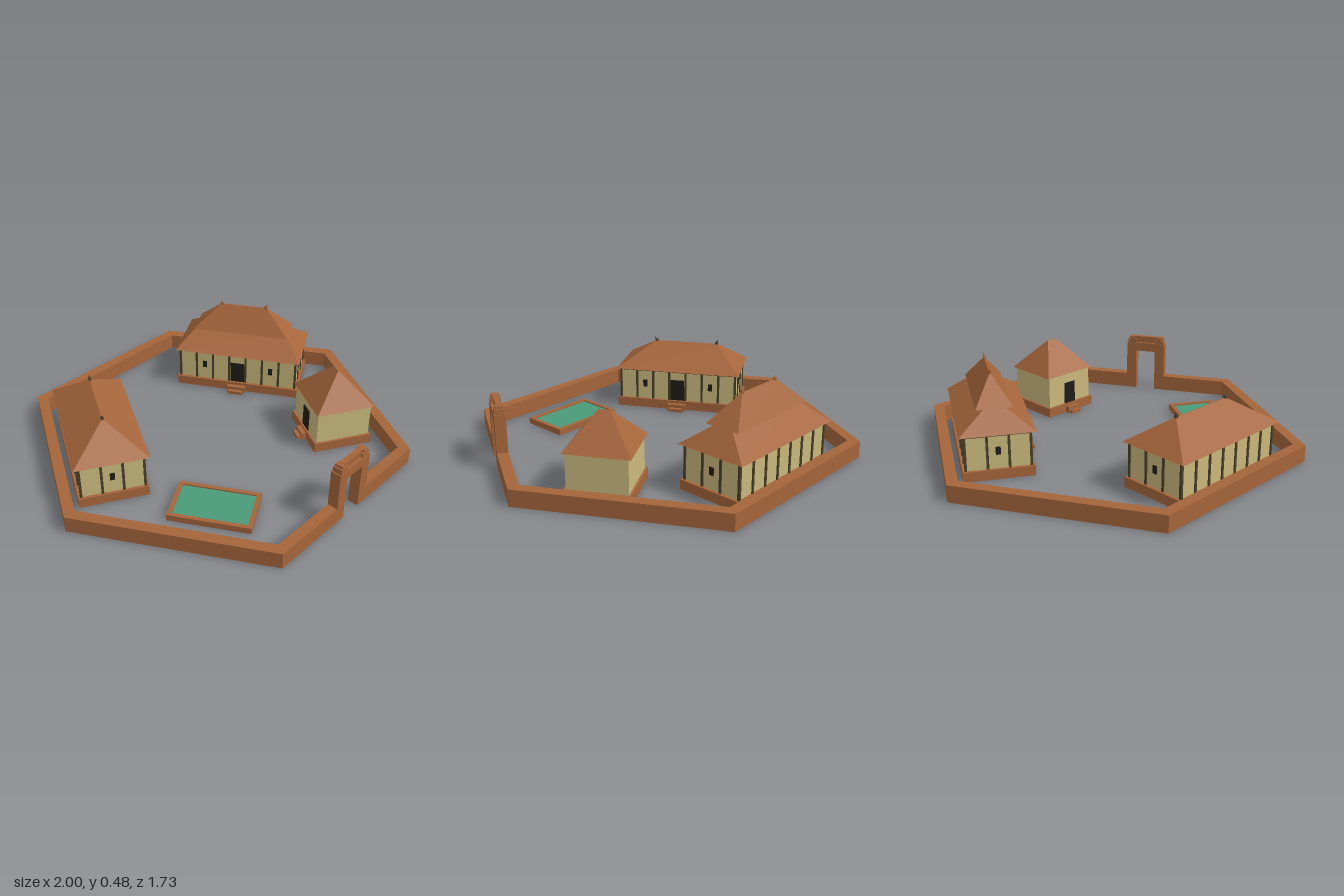
import * as THREE from 'three';

const mat = (color) => new THREE.MeshStandardMaterial({ color, flatShading: true });
const CLAY = mat(0xa5653b), PLASTER = mat(0xcab97d), TIMBER = mat(0x4a4029);
const DARK = mat(0x201c18), WATER = mat(0x4a9a78);
WATER.side = THREE.DoubleSide;

function add(parent, name, geometry, material, x = 0, y = 0, z = 0) {
  const mesh = new THREE.Mesh(geometry, material);
  mesh.name = name;
  mesh.position.set(x, y, z);
  parent.add(mesh);
  return mesh;
}

// Box standing on height y
function block(parent, name, material, w, h, d, x, y, z) {
  return add(parent, name, new THREE.BoxGeometry(w, h, d), material, x, y + h / 2, z);
}

// Hipped roof: a box whose top is drawn in to half sizes ta x tb, shifted along x
function hipRoof(parent, name, a, b, ta, tb, y0, y1, shift = 0) {
  const g = new THREE.BoxGeometry(2, 1, 2);
  const p = g.attributes.position;
  for (let i = 0; i < p.count; i++) {
    const top = p.getY(i) > 0;
    p.setXYZ(i, p.getX(i) * (top ? ta : a) + (top ? shift : 0), top ? y1 : y0, p.getZ(i) * (top ? tb : b));
  }
  g.computeVertexNormals();
  return add(parent, name, g, CLAY);
}

// Plinth, plaster walls, front door and two steps; the front faces local +z
function houseBody(name, a, b, lip, doorWidth, stepWidth) {
  const house = new THREE.Group();
  house.name = name;
  block(house, 'plinth', CLAY, 2 * (a + lip), 0.05, 2 * (b + lip), 0, 0, 0);
  block(house, 'walls', PLASTER, 2 * a, 0.178, 2 * b, 0, 0.05, 0);
  block(house, 'door', DARK, doorWidth, 0.12, 0.006, 0, 0.05, b);
  block(house, 'upperStep', CLAY, stepWidth, 0.036, 0.025, 0, 0, b + lip + 0.0125);
  block(house, 'lowerStep', CLAY, stepWidth * 0.8, 0.018, 0.045, 0, 0, b + lip + 0.0225);
  return house;
}

// Timber-framed hall with seven bays on the long sides and three on the ends
function hall(name) {
  const a = 0.328, b = 0.155, post = 0.012;
  const house = houseBody(name, a, b, 0.016, 0.078, 0.1);
  for (const s of [-1, 1]) {
    for (let i = 0; i <= 7; i++) {
      block(house, 'post', TIMBER, post, 0.176, post, -a + (2 * a * i) / 7, 0.05, s * b);
    }
    for (let i = 1; i < 3; i++) {
      block(house, 'endPost', TIMBER, post, 0.176, post, s * a, 0.05, -b + (2 * b * i) / 3);
    }
    block(house, 'topBeam', TIMBER, 2 * a, 0.01, 0.01, 0, 0.215, s * b);
    block(house, 'endBeam', TIMBER, 0.01, 0.01, 2 * b, s * a, 0.215, 0);
    block(house, 'frontWindow', DARK, 0.024, 0.04, 0.006, s * a * 4 / 7, 0.12, b);
    block(house, 'endWindow', DARK, 0.006, 0.04, 0.024, s * a, 0.12, 0);
  }
  return house;
}

// Small horns on both ends of a ridge
function finials(parent, half, y, material, shift = 0) {
  for (const s of [-1, 1]) {
    block(parent, 'finialBase', material, 0.016, 0.014, 0.012, shift + s * (half - 0.004), y - 0.004, 0);
    const horn = add(parent, 'finialHorn', new THREE.ConeGeometry(0.009, 0.022, 4), material,
      shift + s * (half + 0.001), y + 0.014, 0);
    horn.rotation.z = -s * 0.3;
  }
}

function place(parent, object, x, z, degrees) {
  object.position.set(x, 0, z);
  object.rotation.y = THREE.MathUtils.degToRad(degrees);
  parent.add(object);
}

export function createModel() {
  const model = new THREE.Group();
  model.name = 'walledCompound';

  // Hexagonal wall, open at the gate
  const gap = 0.057, R = 1, r = 0.938, k = Math.sqrt(3) / 2;
  const ring = (radius) => [0, 1, 2, 3, 4, 5].map((i) => {
    const t = -Math.PI / 3 + (i * Math.PI) / 3;
    return new THREE.Vector2(radius * Math.cos(t), radius * Math.sin(t));
  });
  const outline = [
    new THREE.Vector2(gap, -R * k), ...ring(R), new THREE.Vector2(-gap, -R * k),
    new THREE.Vector2(-gap, -r * k), ...ring(r).reverse(), new THREE.Vector2(gap, -r * k),
  ];
  const wallGeo = new THREE.ExtrudeGeometry(new THREE.Shape(outline), { depth: 0.085, bevelEnabled: false });
  wallGeo.rotateX(-Math.PI / 2);
  add(model, 'perimeterWall', wallGeo, CLAY);

  // Gate with stepped top
  const gate = new THREE.Group();
  gate.name = 'gate';
  for (const s of [-1, 1]) {
    block(gate, 'gatePillar', CLAY, 0.056, 0.28, 0.054, s * 0.085, 0, 0);
    block(gate, 'gateEndBlock', CLAY, 0.05, 0.027, 0.048, s * 0.081, 0.28, 0);
    block(gate, 'gateScroll', CLAY, 0.03, 0.015, 0.04, s * 0.083, 0.305, 0);
  }
  block(gate, 'gateLintel', CLAY, 0.114, 0.05, 0.054, 0, 0.235, 0);
  block(gate, 'gateCap', CLAY, 0.15, 0.04, 0.026, 0, 0.282, 0);
  place(model, gate, 0, 0.839, 0);

  // Hall with a single hipped roof
  const rightHall = hall('singleRoofHall');
  hipRoof(rightHall, 'roof', 0.35, 0.182, 0.178, 0.002, 0.225, 0.353, 0.02);
  finials(rightHall, 0.178, 0.353, TIMBER, 0.02);
  place(model, rightHall, -0.5375, -0.29, 60);

  // Hall with a two-tiered roof
  const leftHall = hall('doubleRoofHall');
  hipRoof(leftHall, 'lowerRoof', 0.35, 0.182, 0.25, 0.045, 0.225, 0.328);
  hipRoof(leftHall, 'upperRoof', 0.265, 0.09, 0.127, 0.002, 0.324, 0.455);
  finials(leftHall, 0.127, 0.453, CLAY);
  place(model, leftHall, 0.5375, -0.29, -60);

  // Small plain house
  const hut = houseBody('smallHouse', 0.146, 0.144, 0.012, 0.075, 0.075);
  hipRoof(hut, 'roof', 0.16, 0.155, 0.028, 0.002, 0.225, 0.388);
  place(model, hut, 0.453, 0.413, -120);

  // Pool with a raised rim
  const pool = new THREE.Group();
  pool.name = 'pool';
  for (const s of [-1, 1]) {
    block(pool, 'longRim', CLAY, 0.404, 0.032, 0.021, 0, 0, s * 0.1155);
    block(pool, 'shortRim', CLAY, 0.021, 0.032, 0.21, s * 0.1915, 0, 0);
  }
  const water = add(pool, 'water', new THREE.PlaneGeometry(0.362, 0.21), WATER, 0, 0.025, 0);
  water.rotation.x = -Math.PI / 2;
  place(model, pool, -0.425, 0.392, -60);

  return model;
}
